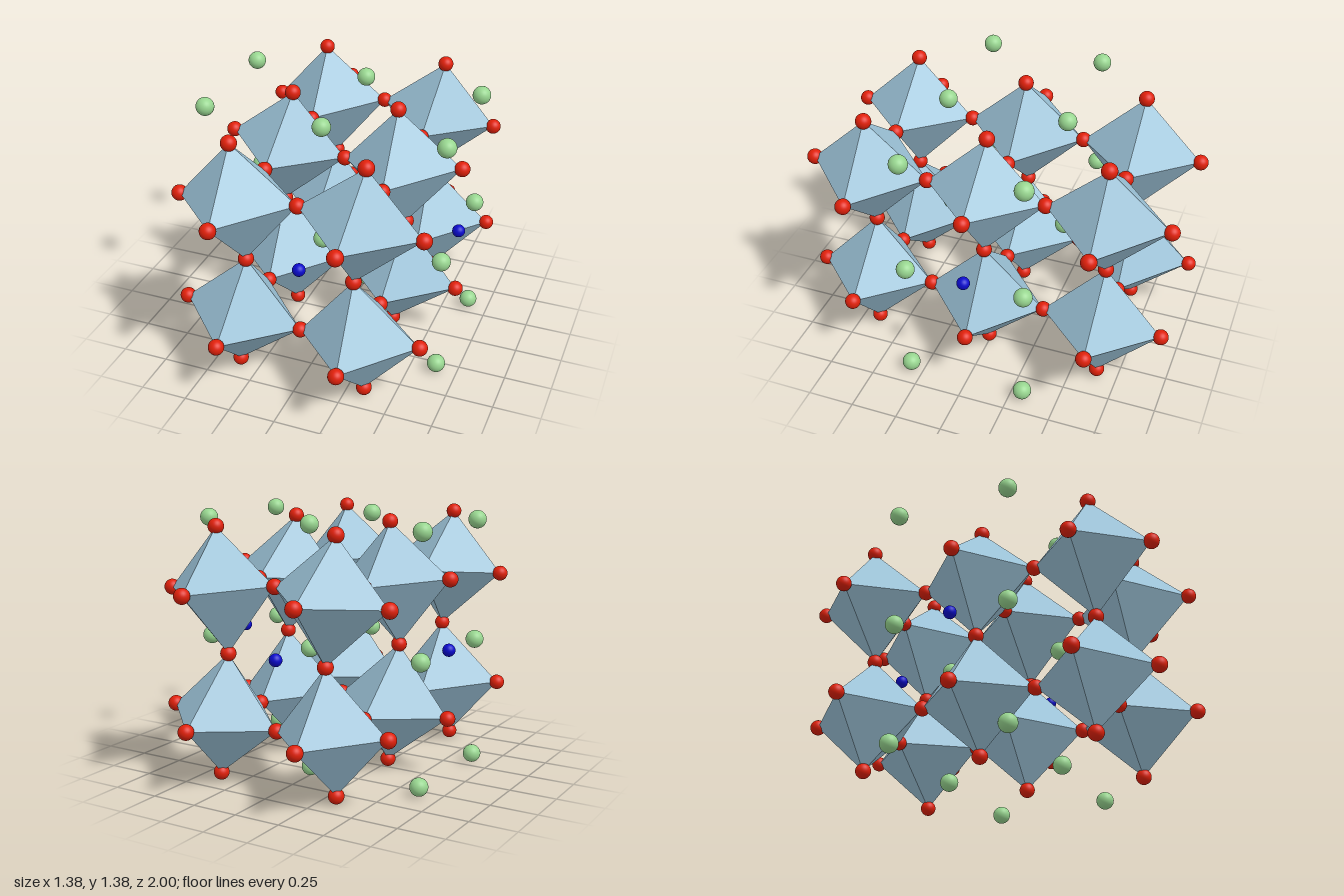
import * as THREE from 'three';
import { ConvexGeometry } from 'three/addons/geometries/ConvexGeometry.js';

const A = 0.32;                       // half the spacing between octahedron centres
const SHEET = [0.048, 0.691, 1.335];  // heights of the three apex layers
const MID = [0.352, 1.032];           // heights of the two equator layers
const SHIFT = 0.03;                   // sideways and vertical shift caused by the tilt

export function createModel() {
  const model = new THREE.Group();
  model.name = 'crystalLattice';

  const material = (name, color) => {
    const m = new THREE.MeshStandardMaterial({ color });
    m.name = name;
    return m;
  };
  const paleBlue = material('paleBlue', 0x9cc3d8);
  const red = material('red', 0xe0200a);
  const green = material('green', 0x98d690);
  const darkBlue = material('darkBlue', 0x0a0acc);

  const cornerBall = new THREE.SphereGeometry(0.041, 28, 18);
  const cavityBall = new THREE.SphereGeometry(0.048, 28, 18);
  const smallBall = new THREE.SphereGeometry(0.034, 24, 16);

  const addBall = (name, geometry, mat, x, y, z) => {
    const ball = new THREE.Mesh(geometry, mat);
    ball.name = name;
    ball.position.set(x, y, z);
    model.add(ball);
  };

  // Corner positions on the tilted lattice; i, k are column and row, s is a layer
  const phase = (n) => (n % 2 === 0 ? 1 : -1);
  const apex = (side, s, k) =>
    new THREE.Vector3(side * (A + SHIFT * phase(s + k)), SHEET[s], 2 * A * k);
  const sideCorner = (i, layer, k) =>
    new THREE.Vector3(2 * A * i, MID[layer] + 0.028 * phase(i + layer + k), 2 * A * k);
  const endCorner = (side, layer, h) =>
    new THREE.Vector3(side * A, MID[layer], A * h);

  // Tilted octahedra spanned by their six corners
  for (const side of [-1, 1]) {
    for (const layer of [0, 1]) {
      for (const k of [-1, 0, 1]) {
        const corners = [
          apex(side, layer, k + 1), apex(side, layer + 1, k + 1),
          sideCorner(0, layer, k), sideCorner(side, layer, k),
          endCorner(side, layer, 2 * k - 1), endCorner(side, layer, 2 * k + 1),
        ];
        // the apex phase is counted from the back row
        corners[0].z = corners[1].z = 2 * A * k;
        const octahedron = new THREE.Mesh(new ConvexGeometry(corners), paleBlue);
        octahedron.name = 'octahedron';
        model.add(octahedron);
      }
    }
  }

  // Red balls on every shared corner
  const addCorner = (p) => addBall('cornerBall', cornerBall, red, p.x, p.y, p.z);
  for (const side of [-1, 1]) {
    for (const s of [0, 1, 2]) {
      for (const k of [-1, 0, 1]) {
        const p = apex(side, s, k + 1);
        p.z = 2 * A * k;
        addCorner(p);
      }
    }
    for (const layer of [0, 1]) {
      for (const h of [-3, -1, 1, 3]) addCorner(endCorner(side, layer, h));
    }
  }
  for (const i of [-1, 0, 1]) {
    for (const layer of [0, 1]) {
      for (const k of [-1, 0, 1]) addCorner(sideCorner(i, layer, k));
    }
  }

  // Green balls in the cavities
  for (const i of [-1, 0, 1]) {
    for (const y of SHEET) {
      for (const z of [-1, 1]) {
        addBall('cavityBall', cavityBall, green, 2 * A * i, y, z * (i === 0 ? 0.323 : 0.317));
      }
    }
  }

  // Small blue balls in the middle of the four outer sides
  for (const s of [-1, 1]) {
    addBall('smallBall', smallBall, darkBlue, 2 * A * s, SHEET[1], 0);
    addBall('smallBall', smallBall, darkBlue, 0, SHEET[1], 2 * A * s);
  }

  return model;
}
